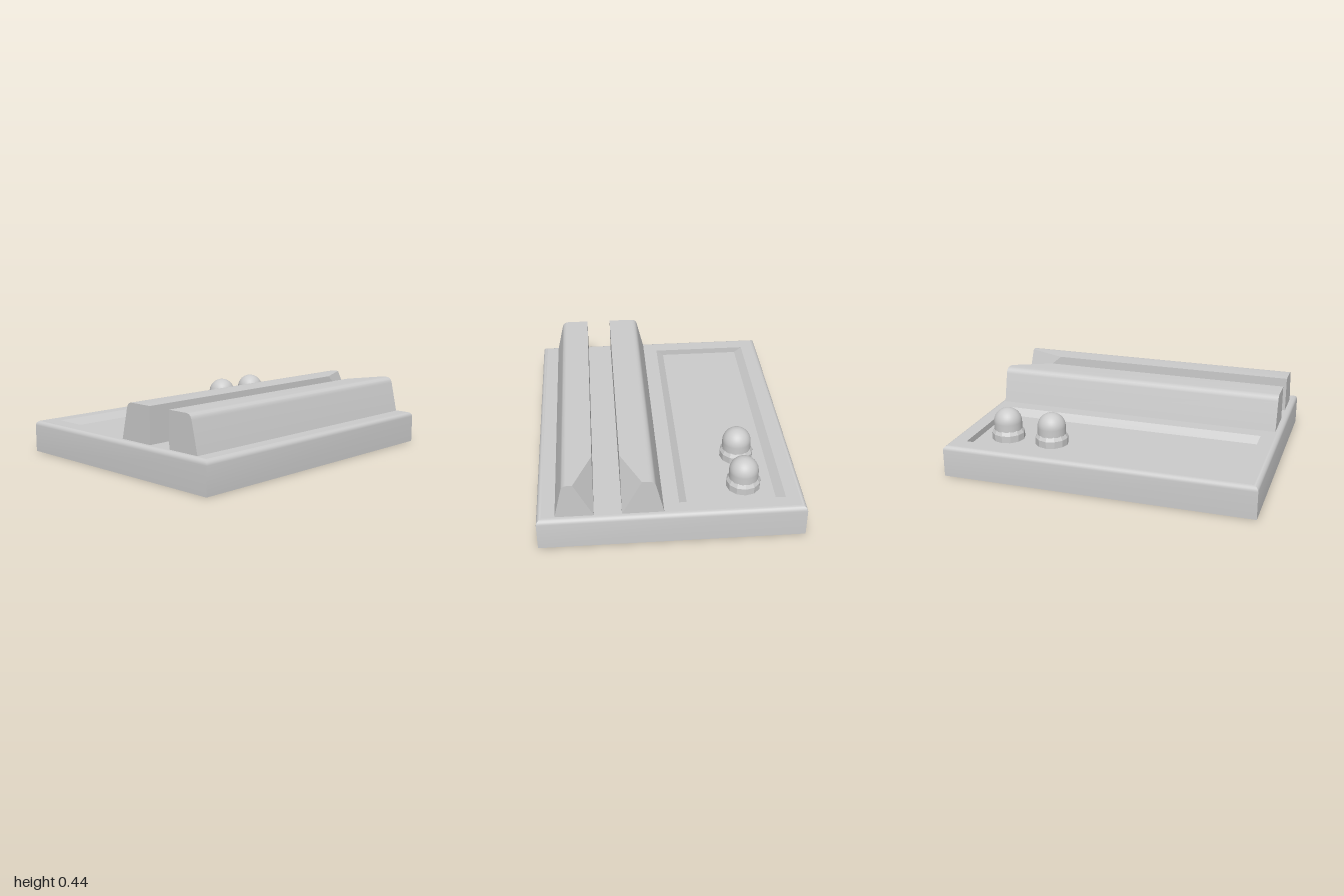
import * as THREE from 'three';
import { toCreasedNormals } from 'three/addons/utils/BufferGeometryUtils.js';
import { ConvexGeometry } from 'three/addons/geometries/ConvexGeometry.js';

const TOP = 0.205, FLOOR = 0.165;           // slab top and tray floor heights
const HX = 0.805, HZ = 1;                   // slab half sizes
const TRAY = { x0: -0.69, x1: -0.045, z0: -0.89, z1: 0.88, slope: 0.05 };

const grey = new THREE.MeshStandardMaterial({ color: 0xcccccc });

function mesh(name, geometry) {
  const m = new THREE.Mesh(geometry, grey);
  m.name = name;
  return m;
}

// Surface through equal-length rows of [x, y, z] points
function surface(rows, crease) {
  const n = rows[0].length, index = [];
  for (let i = 0; i < rows.length - 1; i++) {
    for (let j = 0; j < n - 1; j++) {
      const a = i * n + j, b = a + 1, c = a + n, d = c + 1;
      index.push(a, c, b, b, c, d);
    }
  }
  const g = new THREE.BufferGeometry();
  g.setAttribute('position', new THREE.Float32BufferAttribute(rows.flat(2), 3));
  g.setIndex(index);
  return toCreasedNormals(g, crease);
}

function rectPath(path, x0, x1, y0, y1) {
  path.moveTo(x0, y0).lineTo(x1, y0).lineTo(x1, y1).lineTo(x0, y1).closePath();
  return path;
}

function createBase() {
  const base = new THREE.Group();
  base.name = 'base';

  // Side walls with a rounded upper edge
  const r = 0.03, profile = [[0, 0]];
  for (let i = 0; i <= 5; i++) {
    const a = (i / 5) * Math.PI / 2;
    profile.push([r * (1 - Math.cos(a)), TOP - r + r * Math.sin(a)]);
  }
  const corners = [[1, 1], [-1, 1], [-1, -1], [1, -1], [1, 1]];
  const rings = profile.map(([inset, y]) =>
    corners.map(([sx, sz]) => [sx * (HX - inset), y, sz * (HZ - inset)]));
  base.add(mesh('sideWalls', surface(rings, 0.6)));

  // Top face with an opening for the tray
  const top = rectPath(new THREE.Shape(), -HX + r, HX - r, -HZ + r, HZ - r);
  top.holes.push(rectPath(new THREE.Path(), TRAY.x0, TRAY.x1, -TRAY.z1, -TRAY.z0));
  base.add(mesh('topFace', new THREE.ShapeGeometry(top).rotateX(-Math.PI / 2).translate(0, TOP, 0)));

  // Underside
  base.add(mesh('underside', new THREE.PlaneGeometry(2 * HX, 2 * HZ).rotateX(Math.PI / 2)));

  // Shallow tray: sloping long sides, upright ends
  const xs = [TRAY.x0, TRAY.x0 + TRAY.slope, TRAY.x1 - TRAY.slope, TRAY.x1];
  const ys = [TOP, FLOOR, FLOOR, TOP];
  const row = (z, flat) => xs.map((x, i) => [x, flat ? TOP : ys[i], z]);
  base.add(mesh('tray', surface(
    [row(TRAY.z0, true), row(TRAY.z0), row(TRAY.z1), row(TRAY.z1, true)], 0.3)));
  return base;
}

// Rail with a sloped, rounded outer side and its inner rear corner cut off
function createRail(name, inner, outerBottom, outerTop, cut) {
  const y1 = 0.435, zFront = 0.96, zBack = -0.965, zCut = -0.7;
  const dir = Math.sign(inner - outerBottom);
  const outer = [[outerBottom, TOP]];
  const fillet = new THREE.QuadraticBezierCurve(
    new THREE.Vector2(outerTop - dir * 0.008, y1 - 0.035),
    new THREE.Vector2(outerTop, y1),
    new THREE.Vector2(outerTop + dir * 0.035, y1));
  for (const p of fillet.getPoints(5)) outer.push([p.x, p.y]);

  const points = [];
  for (const z of [zFront, zBack]) {
    for (const [x, y] of outer) points.push(new THREE.Vector3(x, y, z));
    points.push(new THREE.Vector3(inner, TOP, z));
  }
  points.push(
    new THREE.Vector3(inner, y1, zFront),
    new THREE.Vector3(inner, y1, zCut),
    new THREE.Vector3(cut, y1, zBack));
  return mesh(name, toCreasedNormals(new ConvexGeometry(points), 0.5));
}

// Domed stud on a faceted collar
function createStud(name, x, z) {
  const stud = new THREE.Group();
  stud.name = name;
  stud.position.set(x, FLOOR, z);

  const collarProfile = [[0.107, 0], [0.107, 0.045], [0.088, 0.075], [0, 0.075]]
    .map(([px, py]) => new THREE.Vector2(px, py));
  const collar = new THREE.LatheGeometry(collarProfile, 12);
  stud.add(mesh('studCollar', toCreasedNormals(collar, 0.2)));

  const radius = 0.091, spring = 0.205 - radius;
  const dome = [new THREE.Vector2(radius, 0)];
  for (let i = 0; i <= 10; i++) {
    const a = (i / 10) * Math.PI / 2;
    dome.push(new THREE.Vector2(i === 10 ? 0 : radius * Math.cos(a), spring + radius * Math.sin(a)));
  }
  stud.add(mesh('studDome', new THREE.LatheGeometry(dome, 32)));
  return stud;
}

export function createModel() {
  const model = new THREE.Group();
  model.name = 'railBlock';
  model.add(createBase());
  model.add(createRail('innerRail', 0.3, 0.05, 0.105, 0.18));
  model.add(createRail('outerRail', 0.465, 0.695, 0.642, 0.58));
  model.add(createStud('rearStud', -0.46, -0.705));
  model.add(createStud('frontStud', -0.46, -0.4));
  return model;
}
